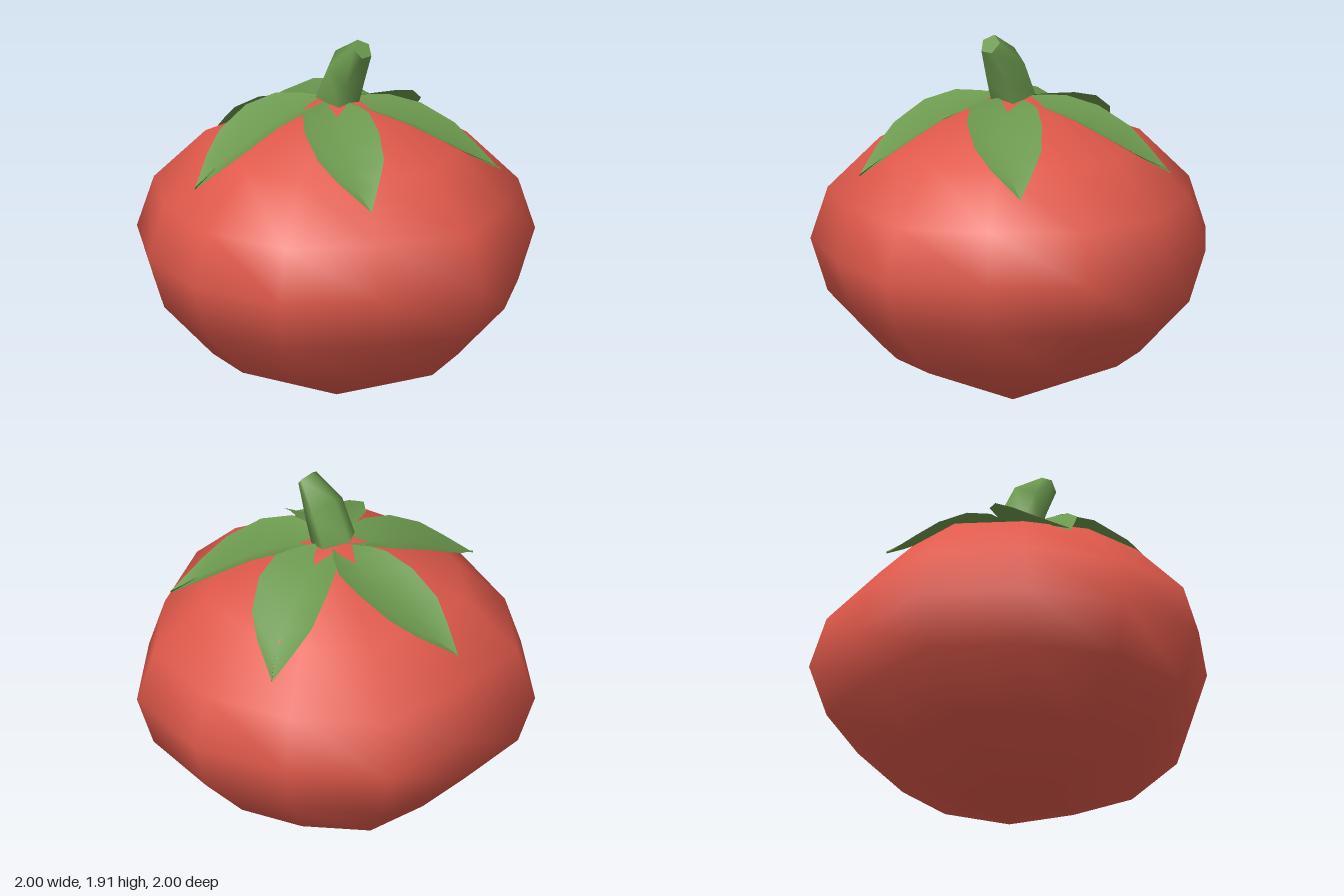
import * as THREE from 'three';
import { mergeVertices } from 'three/addons/utils/BufferGeometryUtils.js';

const CENTER_X = -0.05;

// Grid of cross-section rows joined into a surface; closed rows wrap around
function skin(rows, closed) {
  const n = rows[0].length, pos = rows.flat(2), idx = [];
  for (let i = 0; i < rows.length - 1; i++) {
    for (let j = 0; j < (closed ? n : n - 1); j++) {
      const a = i * n + j, b = i * n + (j + 1) % n;
      idx.push(a, b, a + n, b, b + n, a + n);
    }
  }
  const g = new THREE.BufferGeometry();
  g.setAttribute('position', new THREE.Float32BufferAttribute(pos, 3));
  g.setIndex(idx);
  g.computeVertexNormals();
  return g;
}

// Squat twelve-sided body with five soft lobes and evenly spaced rings
function bodyGeometry() {
  let g = new THREE.SphereGeometry(1, 12, 6);
  g.deleteAttribute('uv');
  g.deleteAttribute('normal');
  const radii = [0, 0.657, 0.915, 1, 0.915, 0.657, 0];
  const p = g.attributes.position;
  for (let i = 0; i < p.count; i++) {
    const ring = Math.floor(i / 13);
    const a = (i % 13) * Math.PI / 6;
    const r = radii[ring] * (1 + 0.05 * Math.cos(5 * (a + Math.PI)));
    p.setXYZ(i, -Math.cos(a) * r, 1.6 * (1 - ring / 6), Math.sin(a) * r);
  }
  g = mergeVertices(g, 1e-4);
  g.computeVertexNormals();
  return g;
}

// Leaf folded along its midrib, with raised edges and a tip swept to one side
function leafGeometry() {
  // distance out, rib side offset, rib height, edge offsets, edge height
  const sections = [
    [0.02, 0.00, 1.565, 0.03, -0.02, 1.57],
    [0.13, 0.02, 1.535, 0.13, -0.09, 1.575],
    [0.24, 0.02, 1.508, 0.205, -0.13, 1.57],
    [0.40, 0.01, 1.452, 0.22, -0.157, 1.525],
    [0.57, 0.00, 1.363, 0.175, -0.16, 1.43],
    [0.68, -0.01, 1.300, 0.09, -0.12, 1.345],
    [0.82, -0.06, 1.230, -0.06, -0.06, 1.23],
  ];
  return skin(sections.map(([u, w, y, wl, wr, ye]) =>
    [[u, ye, wl], [u, y, w], [u, ye - 0.01, wr]]).map(r => r.reverse()), false);
}

// Bent five-sided stalk: each ring is tilted along the bend
function stemGeometry() {
  const rings = [
    [-0.053, 1.576, 0.118, -0.34],
    [0.018, 1.735, 0.112, -0.80],
    [0.137, 1.868, 0.056, -0.88],
  ];
  return rings.map(([x, y, r, tilt]) => Array.from({ length: 5 }, (_, k) => {
    const a = Math.PI - k * Math.PI * 2 / 5;
    const d = r * Math.cos(a);
    return [x + d * Math.cos(tilt), y + d * Math.sin(tilt), r * Math.sin(a)];
  }));
}

export function createModel() {
  const red = new THREE.MeshStandardMaterial({ color: 0xe0594b });
  red.name = 'fruitRed';
  const green = new THREE.MeshStandardMaterial({ color: 0x6b984e, side: THREE.DoubleSide });
  green.name = 'leafGreen';

  const model = new THREE.Group();
  model.name = 'fruit';
  const add = (name, geometry, material) => {
    const mesh = new THREE.Mesh(geometry, material);
    mesh.name = name;
    model.add(mesh);
    return mesh;
  };

  add('body', bodyGeometry(), red).position.x = CENTER_X;

  // Five leaves around the crown
  const leaf = leafGeometry();
  for (let i = 0; i < 5; i++) {
    const mesh = add('leaf' + (i + 1), leaf, green);
    mesh.position.x = CENTER_X;
    mesh.rotation.y = -(Math.PI / 5 + i * Math.PI * 2 / 5);
  }

  // Stem sides and flat end caps
  const rings = stemGeometry();
  add('stem', skin(rings, true), green);
  for (const [name, ring] of [['stemTip', rings[2]], ['stemBase', [...rings[0]].reverse()]]) {
    const cap = new THREE.BufferGeometry();
    cap.setAttribute('position', new THREE.Float32BufferAttribute(ring.flat(), 3));
    cap.setIndex([0, 1, 2, 0, 2, 3, 0, 3, 4]);
    cap.computeVertexNormals();
    add(name, cap, green);
  }
  return model;
}
